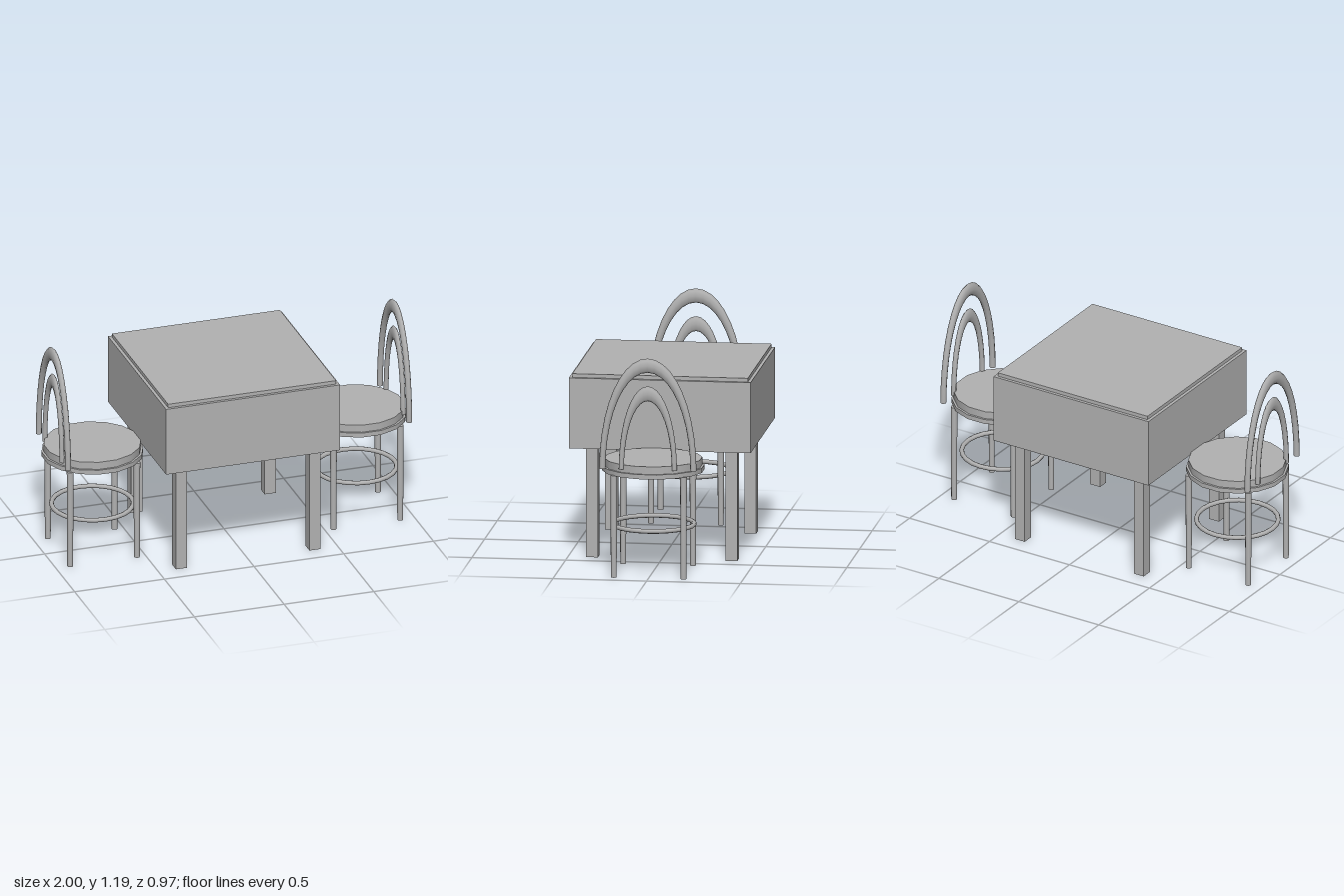
import * as THREE from 'three';

export function createModel() {
  const root = new THREE.Group();
  const grey = new THREE.MeshStandardMaterial({ color: 0xb2b2b2 });
  grey.name = 'plain grey';

  function add(parent, name, geometry, x, y, z) {
    const mesh = new THREE.Mesh(geometry, grey);
    mesh.name = name;
    mesh.position.set(x, y, z);
    parent.add(mesh);
    return mesh;
  }

  // Table: deep skirt, slightly smaller top and four square legs
  const table = new THREE.Group();
  table.name = 'table';
  root.add(table);
  add(table, 'tableSkirt', new THREE.BoxGeometry(0.97, 0.38, 0.97), 0, 0.79, 0);
  add(table, 'tableTop', new THREE.BoxGeometry(0.936, 0.02, 0.936), 0, 0.99, 0);
  const tableLeg = new THREE.BoxGeometry(0.062, 0.6, 0.062);
  for (const x of [-1, 1]) {
    for (const z of [-1, 1]) add(table, 'tableLeg', tableLeg, x * 0.372, 0.3, z * 0.372);
  }

  // Half torus stretched upward into a tall arch, with closed feet
  function addArch(chair, name, radius, tube, height) {
    const arch = new THREE.Group();
    arch.name = name;
    arch.position.set(0.217, 0.59, 0);
    const stretch = height / (radius + tube);
    const bow = new THREE.TorusGeometry(radius, tube, 8, 20, Math.PI);
    bow.rotateY(Math.PI / 2).scale(1, stretch, 1);
    add(arch, name + 'Tube', bow, 0, 0, 0);
    const foot = new THREE.CircleGeometry(tube, 8).rotateX(Math.PI / 2);
    for (const z of [-radius, radius]) add(arch, name + 'Foot', foot, 0, 0, z);
    chair.add(arch);
  }

  // Chair with its back toward local +x
  function makeChair(name) {
    const chair = new THREE.Group();
    chair.name = name;
    const disc = (r, h) => new THREE.CylinderGeometry(r, r, h, 16).rotateY(Math.PI / 16);
    add(chair, 'seatRim', disc(0.271, 0.025), 0, 0.5605, 0);
    add(chair, 'seatCushion', disc(0.259, 0.041), 0, 0.5935, 0);

    // Slim round legs, slightly tapered
    const leg = new THREE.CylinderGeometry(0.018, 0.0155, 0.55, 10);
    for (const x of [-1, 1]) {
      for (const z of [-1, 1]) add(chair, 'chairLeg', leg, x * 0.186, 0.275, z * 0.186);
    }

    // Foot ring and the two nested back arches
    const ring = new THREE.TorusGeometry(0.217, 0.0125, 8, 24).rotateX(Math.PI / 2);
    add(chair, 'footRing', ring, 0, 0.258, 0);
    addArch(chair, 'outerBackArch', 0.243, 0.0165, 0.6);
    addArch(chair, 'innerBackArch', 0.1415, 0.0138, 0.45);
    return chair;
  }

  // One chair on each side, backs facing outward
  const leftChair = makeChair('leftChair');
  leftChair.position.x = 0.734;
  const rightChair = makeChair('rightChair');
  rightChair.position.x = -0.734;
  rightChair.rotation.y = Math.PI;
  root.add(leftChair, rightChair);

  return root;
}
